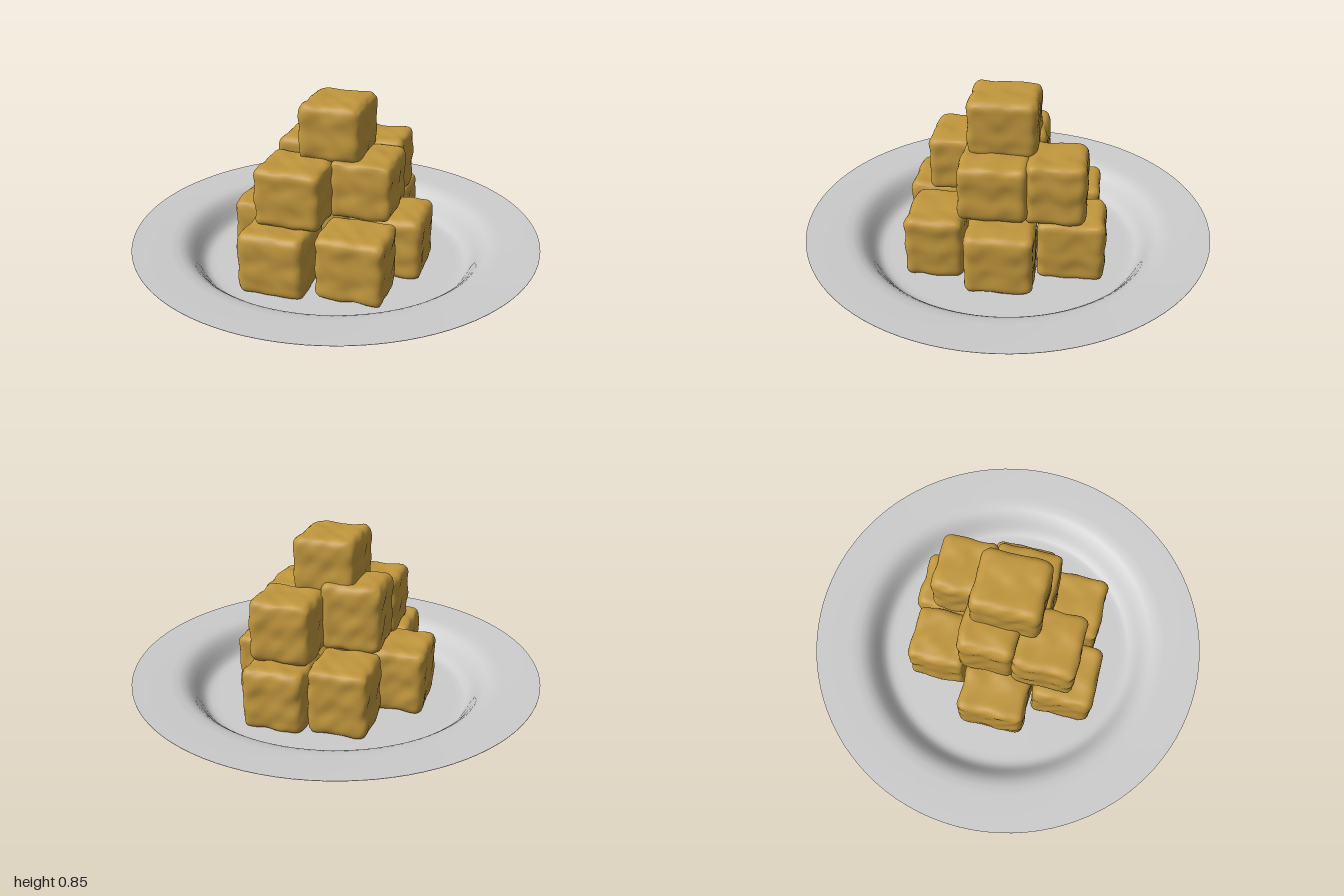
import * as THREE from 'three';
import { mergeVertices } from 'three/addons/utils/BufferGeometryUtils.js';

// Box with rounded edges and a softly lumpy surface, given by its extents
function lumpyCube(x0, x1, y0, y1, z0, z1, seed) {
  const half = new THREE.Vector3(x1 - x0, y1 - y0, z1 - z0).multiplyScalar(0.5);
  const radius = 0.04, n = 22;
  let geo = new THREE.BoxGeometry(half.x * 2, half.y * 2, half.z * 2, n, n, n);
  geo.deleteAttribute('normal');
  geo.deleteAttribute('uv');
  geo = mergeVertices(geo, 1e-4);
  const pos = geo.attributes.position;
  const core = half.clone().subScalar(radius);
  const p = new THREE.Vector3(), inner = new THREE.Vector3(), dir = new THREE.Vector3();
  for (let i = 0; i < pos.count; i++) {
    p.fromBufferAttribute(pos, i);
    inner.copy(p).clamp(core.clone().negate(), core);
    dir.copy(p).sub(inner).normalize();
    const a = p.x * 34 + seed * 1.7, b = p.y * 38 + seed * 2.9, c = p.z * 34 + seed * 4.1;
    const lump = 0.0022 * (Math.sin(a + 1.3 * Math.sin(b)) + Math.sin(b * 1.3 + Math.sin(c)) + Math.sin(c + 1.2 * Math.sin(a)))
      + 0.001 * Math.sin(a * 1.9 + b * 1.4 - c * 1.7);
    p.copy(inner).addScaledVector(dir, radius - 0.002 + lump);
    pos.setXYZ(i, p.x, p.y, p.z);
  }
  geo.computeVertexNormals();
  geo.translate((x0 + x1) / 2, (y0 + y1) / 2, (z0 + z1) / 2);
  return geo;
}

export function createModel() {
  const group = new THREE.Group();
  const ceramic = new THREE.MeshStandardMaterial({ color: 0xcccccc });
  ceramic.name = 'pale grey ceramic';
  const golden = new THREE.MeshStandardMaterial({ color: 0xc1973d });
  golden.name = 'golden brown';

  const add = (name, geo, mat, parent) => {
    const mesh = new THREE.Mesh(geo, mat);
    mesh.name = name;
    parent.add(mesh);
  };
  const lathe = (pts) => new THREE.LatheGeometry(pts.map(([x, y]) => new THREE.Vector2(x, y)), 96);

  // Plate: underside runs out to the rim, upper face runs back to the centre
  const plate = new THREE.Group();
  plate.name = 'plate';
  add('plateUnderside', lathe([
    [0, 0.005], [0.6, 0.005], [0.63, 0.006], [0.655, 0.012], [0.675, 0.025], [0.692, 0.045],
    [0.71, 0.072], [0.73, 0.098], [0.755, 0.12], [0.785, 0.132], [0.82, 0.138], [1, 0.153],
  ]), ceramic, plate);
  add('plateTop', lathe([
    [1, 0.153], [1, 0.156], [0.82, 0.146], [0.78, 0.141], [0.75, 0.13], [0.725, 0.11],
    [0.703, 0.083], [0.685, 0.055], [0.668, 0.034], [0.65, 0.021], [0.63, 0.016], [0.6, 0.015], [0, 0.015],
  ]), ceramic, plate);
  group.add(plate);

  // Stacked cubes: x0, x1, y0, y1, z0, z1
  const tiers = {
    bottomCube: [
      [-0.325, 0.0, 0.01, 0.317, 0.19, 0.5],
      [0.03, 0.36, 0.01, 0.325, 0.17, 0.45],
      [-0.475, -0.165, 0.01, 0.325, -0.15, 0.185],
      [0.155, 0.465, 0.01, 0.32, -0.17, 0.155],
      [-0.285, 0.005, 0.01, 0.335, -0.455, -0.16],
      [0.005, 0.305, 0.01, 0.315, -0.49, -0.17],
    ],
    middleCube: [
      [-0.28, 0.045, 0.31, 0.592, 0.075, 0.385],
      [0.025, 0.325, 0.31, 0.6, -0.125, 0.205],
      [-0.27, 0.025, 0.32, 0.65, -0.19, 0.09],
      [0.0, 0.305, 0.305, 0.607, -0.395, -0.11],
    ],
    topCube: [[-0.135, 0.17, 0.575, 0.852, -0.155, 0.178]],
  };
  let seed = 1;
  for (const [name, cubes] of Object.entries(tiers)) {
    const tier = new THREE.Group();
    tier.name = name + 'Tier';
    cubes.forEach((c, i) => add(name + (i + 1), lumpyCube(...c, seed++), golden, tier));
    group.add(tier);
  }
  return group;
}
